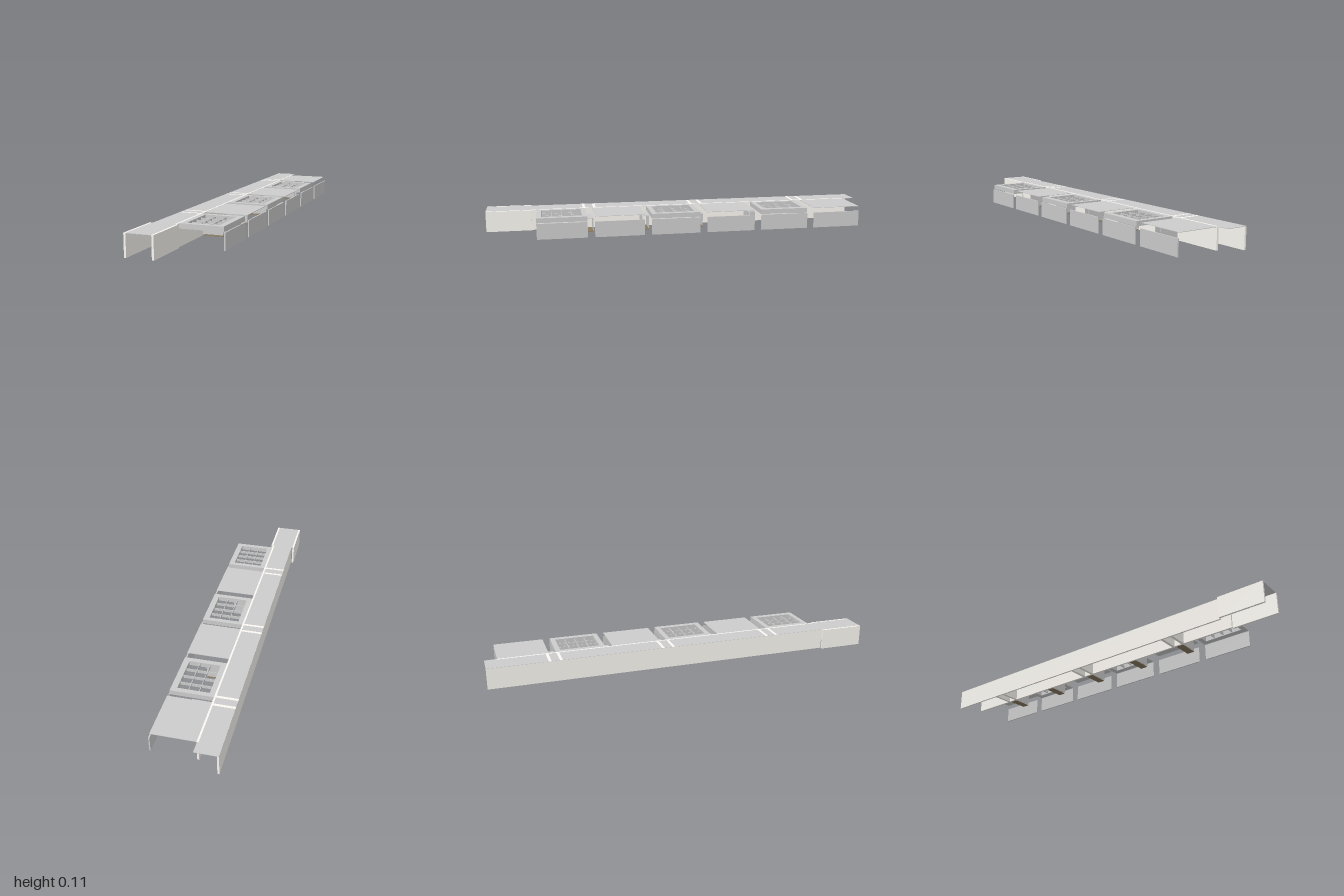
import * as THREE from 'three';

const grey = new THREE.MeshStandardMaterial({ color: 0xcccccc, side: THREE.DoubleSide });
const plaster = new THREE.MeshStandardMaterial({ color: 0xfbf8f2, side: THREE.DoubleSide });
const brown = new THREE.MeshStandardMaterial({ color: 0x8a7a62, side: THREE.DoubleSide });

// Box given by its minimum and maximum along each axis
function block(parent, name, [x0, x1], [y0, y1], [z0, z1], material = grey) {
  const mesh = new THREE.Mesh(new THREE.BoxGeometry(x1 - x0, y1 - y0, z1 - z0), material);
  mesh.position.set((x0 + x1) / 2, (y0 + y1) / 2, (z0 + z1) / 2);
  mesh.name = name;
  parent.add(mesh);
  return mesh;
}

const TOP = 0.106;
const HALF = 0.125; // half the length of a room

// Raised rectangular frame with a see-through lattice
function addSkylight(parent, z) {
  const light = new THREE.Group();
  light.name = 'skylight';
  const shape = new THREE.Shape();
  shape.moveTo(-0.046, -HALF);
  shape.lineTo(0.165, -HALF);
  shape.lineTo(0.165, HALF);
  shape.lineTo(-0.046, HALF);
  shape.closePath();
  const hole = new THREE.Path();
  hole.moveTo(-0.02, -0.1);
  hole.lineTo(-0.02, 0.1);
  hole.lineTo(0.135, 0.1);
  hole.lineTo(0.135, -0.1);
  hole.closePath();
  shape.holes.push(hole);
  const geometry = new THREE.ExtrudeGeometry(shape, { depth: TOP - 0.082, bevelEnabled: false });
  geometry.rotateX(-Math.PI / 2);
  const frame = new THREE.Mesh(geometry, grey);
  frame.name = 'skylightFrame';
  frame.position.y = 0.082;
  light.add(frame);
  for (const x of [0.032, 0.083]) {
    block(light, 'longBar', [x - 0.0015, x + 0.0015], [0.085, 0.1], [-0.1, 0.1]);
  }
  for (const bar of [-0.05, 0, 0.05]) {
    block(light, 'crossBar', [-0.02, 0.135], [0.085, 0.1], [bar - 0.0015, bar + 0.0015]);
  }
  light.position.z = z;
  parent.add(light);
}

// Low passage between two neighbouring rooms
function addPassage(parent, z) {
  const passage = new THREE.Group();
  passage.name = 'passage';
  block(passage, 'passageFloor', [-0.046, 0.054], [0, 0.002], [-0.019, 0.019], brown);
  block(passage, 'passageRoof', [-0.046, 0.057], [0.072, 0.074], [-0.019, 0.019]);
  for (const side of [-1, 1]) {
    const c = side * 0.017;
    block(passage, 'passagePanel', [-0.046, 0.057], [0.007, 0.073], [c - 0.001, c + 0.001]);
  }
  passage.position.z = z;
  parent.add(passage);
}

export function createModel() {
  const model = new THREE.Group();
  model.name = 'corridorWithRooms';

  // Corridor walls and ceiling, split by the cross walls
  const corridor = new THREE.Group();
  corridor.name = 'corridor';
  model.add(corridor);
  block(corridor, 'outerWall', [-0.16, -0.151], [0, TOP - 0.001], [-1, 0.77], plaster);
  block(corridor, 'innerWall', [-0.055, -0.046], [0, TOP], [-0.94, 0.77], plaster);
  const crossWalls = [-0.698, -0.644, -0.127, -0.073, 0.445, 0.499];
  let start = -1;
  for (const z of [...crossWalls, 1]) {
    const end = z === 1 ? 0.77 : z - 0.007;
    block(corridor, 'corridorCeiling', [-0.16, -0.055], [TOP - 0.002, TOP], [start, end]);
    if (z < 1) block(corridor, 'crossWall', [-0.16, -0.046], [0, TOP], [z - 0.007, z + 0.007], plaster);
    start = z + 0.007;
  }
  block(corridor, 'ceilingOverhang', [-0.055, -0.048], [TOP - 0.002, TOP], [-1, -0.94]);

  // Wider entrance at the front end
  const entrance = new THREE.Group();
  entrance.name = 'entrance';
  model.add(entrance);
  block(entrance, 'entranceWall', [-0.175, -0.165], [0, TOP], [0.77, 1], plaster);
  block(entrance, 'entranceWall', [-0.046, -0.036], [0, TOP], [0.77, 1], plaster);
  block(entrance, 'entranceCeiling', [-0.165, -0.046], [TOP - 0.002, TOP], [0.77, 1]);

  // Six rooms in a row, alternating plain ceilings and skylights
  for (let i = 0; i < 6; i++) {
    const z = -0.813 + i * 0.2865;
    const span = [z - HALF, z + HALF];
    block(model, 'roomOuterWall', [0.166, 0.172], [0, 0.08], span);
    if (i % 2) addSkylight(model, z);
    else block(model, 'roomCeiling', [-0.046, 0.165], [TOP - 0.003, TOP - 0.001], span);
    if (i < 5) addPassage(model, z + 0.143);
  }
  return model;
}
